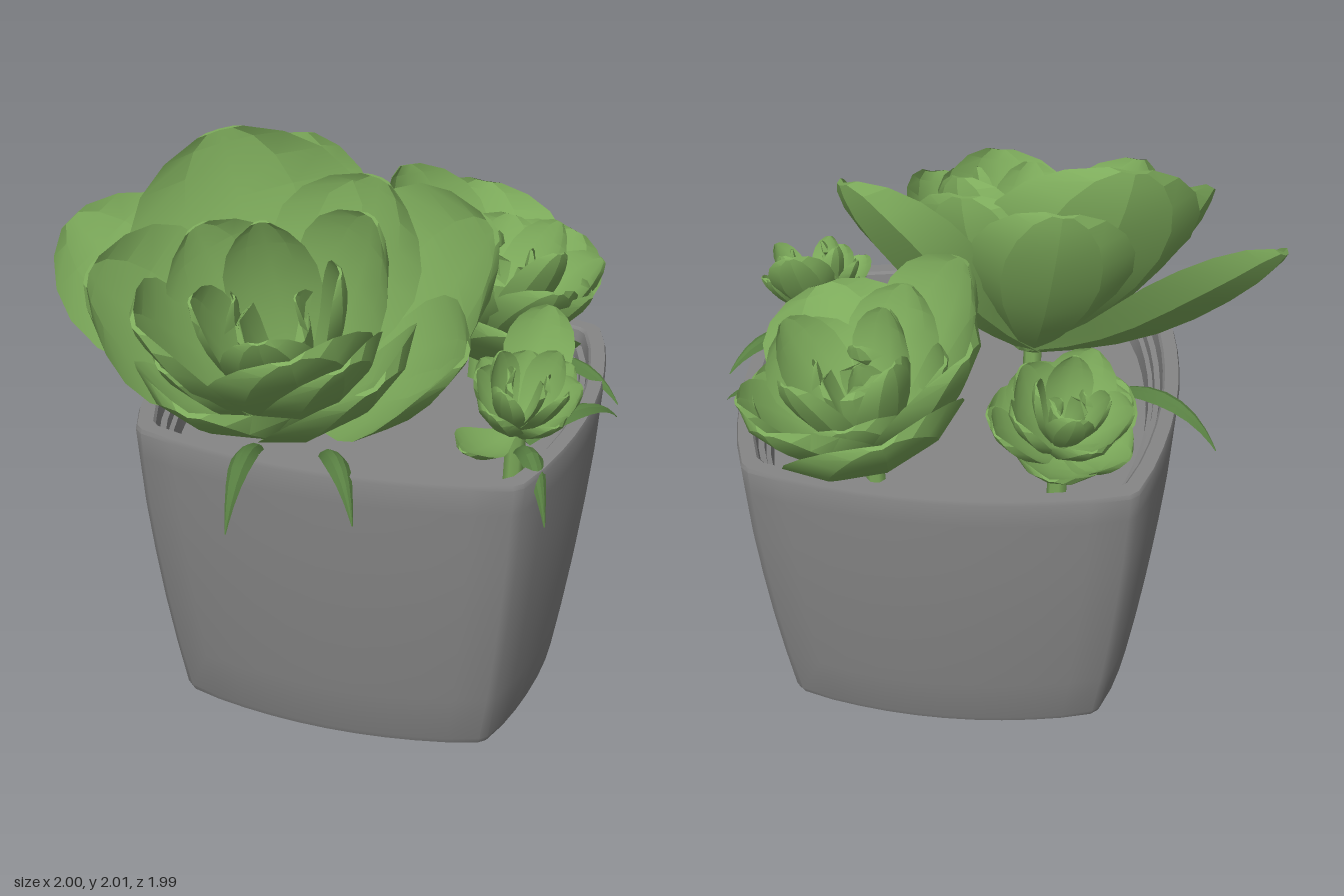
import * as THREE from 'three';
import { toCreasedNormals } from 'three/addons/utils/BufferGeometryUtils.js';

const V = (x, y, z) => new THREE.Vector3(x, y, z);

// Closed skin through equal rings of points, capped at both ends
function loft(rings, crease) {
  const n = rings[0].length, pos = [], idx = [];
  rings.forEach(r => r.forEach(p => pos.push(p.x, p.y, p.z)));
  for (let i = 0; i < rings.length - 1; i++) {
    for (let j = 0; j < n; j++) {
      const k = (j + 1) % n, a = i * n + j, b = i * n + k;
      idx.push(a, b, b + n, a, b + n, a + n);
    }
  }
  [0, rings.length - 1].forEach((i, end) => {
    const c = rings[i].reduce((s, p) => s.add(p), V(0, 0, 0)).divideScalar(n);
    const ci = pos.length / 3;
    pos.push(c.x, c.y, c.z);
    for (let j = 0; j < n; j++) {
      const a = i * n + j, b = i * n + (j + 1) % n;
      if (end) idx.push(ci, a, b); else idx.push(ci, b, a);
    }
  });
  const g = new THREE.BufferGeometry();
  g.setAttribute('position', new THREE.Float32BufferAttribute(pos, 3));
  g.setIndex(idx);
  return toCreasedNormals(g, crease);
}

// Half width along a spoon-shaped petal and along a pointed blade
const STEPS = [0, 0.15, 0.3, 0.45, 0.6, 0.74, 0.86, 0.95, 1];
const spoon = t => t < 0.64
  ? 0.2 + 0.8 * THREE.MathUtils.smoothstep(t, -0.08, 0.64)
  : Math.sqrt(Math.max(0.04, 1 - ((t - 0.64) / 0.365) ** 2));
const blade = t => 0.06 + 0.94 * Math.sin(Math.PI * Math.min(1, 0.15 + t * 0.85));

// Leaf following a curve, cupped toward the given up direction
function leafGeometry(curve, up, half, cup, thick, shape) {
  const rings = STEPS.map(t => {
    const p = curve.getPoint(t), T = curve.getTangent(t);
    const N = up.clone().addScaledVector(T, -up.dot(T)).normalize();
    const S = N.clone().cross(T);
    const w = half * shape(t), th = thick * Math.min(1, shape(t) + 0.2);
    const at = (u, drop) => p.clone().addScaledVector(S, u * w)
      .addScaledVector(N, cup * w * u * u - drop);
    return [at(1, 0), at(0.5, 0), at(0, 0), at(-0.5, 0), at(-1, 0),
      at(-0.6, th), at(0, th), at(0.6, th)];
  });
  return loft(rings, 0.35);
}

function petalGeometry(base, tip, axis, half) {
  const dir = tip.clone().sub(base), len = dir.length();
  dir.normalize();
  const N = axis.clone().addScaledVector(dir, -axis.dot(dir)).normalize();
  const mid = base.clone().lerp(tip, 0.55).addScaledVector(N, -0.16 * len);
  return leafGeometry(new THREE.QuadraticBezierCurve3(base, mid, tip), axis, half, 0.34, 0.05 * half + 0.008, spoon);
}

// Petals come from listed tips [x, y, z, halfWidth] and from
// rings [count, elevation in degrees, length, halfWidth, phase]
function rosette(name, base, axis, tips, rings, mat) {
  const group = new THREE.Group();
  group.name = name;
  axis.normalize();
  const add = (geometry, part) => {
    const m = new THREE.Mesh(geometry, mat);
    m.name = part;
    group.add(m);
  };
  tips.forEach(([x, y, z, w]) => add(petalGeometry(base, V(x, y, z), axis, w), 'outerPetal'));
  const e1 = V(1, 0, 0).addScaledVector(axis, -axis.x).normalize();
  const e2 = e1.clone().cross(axis).negate();
  rings.forEach(([count, deg, len, w, phase]) => {
    const phi = THREE.MathUtils.degToRad(deg);
    for (let i = 0; i < count; i++) {
      const a = phase + i / count * Math.PI * 2;
      const l = len * (1 + 0.06 * Math.sin(i * 2.4 + phase));
      const tip = base.clone()
        .addScaledVector(e1, Math.cos(a) * Math.cos(phi) * l)
        .addScaledVector(e2, Math.sin(a) * Math.cos(phi) * l)
        .addScaledVector(axis, Math.sin(phi) * l);
      add(petalGeometry(base, tip, axis, w), 'innerPetal');
    }
  });
  // Stem down into the pot
  const stem = new THREE.TubeGeometry(new THREE.LineCurve3(
    V(base.x, 0.94, base.z), base.clone().addScaledVector(axis, 0.04)), 1, 0.035, 7);
  add(stem, 'stem');
  return group;
}

// Rounded square outline with bulging sides
function potRing(scale, y) {
  const pts = [], c = 0.68, bulge = 0.108;
  for (let s = 0; s < 4; s++) {
    const a = s * Math.PI / 2;
    for (let i = 0; i <= 10; i++) {
      const t = -0.96 + 0.192 * i;
      const u = c * t, v = c + bulge * (1 - t * t) - (Math.abs(t) > 0.9 ? 0.006 : 0);
      pts.push(V(0.13 + scale * (u * Math.cos(a) + v * Math.sin(a)), y,
        0.02 + scale * 0.965 * (v * Math.cos(a) - u * Math.sin(a))));
    }
  }
  return pts;
}

export function createModel() {
  const model = new THREE.Group();
  model.name = 'pottedSucculents';
  const grey = new THREE.MeshStandardMaterial({ color: 0x868686 });
  grey.name = 'potGrey';
  const green = new THREE.MeshStandardMaterial({ color: 0x7dab5b });
  green.name = 'leafGreen';
  const darkGreen = new THREE.MeshStandardMaterial({ color: 0x587f42 });
  darkGreen.name = 'droopingLeafGreen';

  // Pot: outer wall, rim, stepped inner wall and filled floor
  const profile = [[0.8, 0], [0.822, 0.008], [0.834, 0.03], [0.875, 0.22], [0.913, 0.42], [0.945, 0.62],
    [0.972, 0.82], [0.99, 1.02], [0.998, 1.115], [0.992, 1.13], [0.93, 1.13], [0.92, 1.12],
    [0.91, 1.07], [0.885, 1.065], [0.88, 1.03], [0.86, 1.025], [0.85, 0.96]];
  const pot = new THREE.Mesh(loft(profile.map(([s, y]) => potRing(s, y)), 0.5), grey);
  pot.name = 'pot';
  model.add(pot);

  // Large rosette leaning to the front
  model.add(rosette('largeRosette', V(-0.1, 1.09, 0.26), V(-0.03, 0.88, 0.45), [
    [-0.99, 1.64, 0.14, 0.33], [-0.46, 1.99, 0.02, 0.41], [-0.24, 1.93, -0.2, 0.29],
    [0.12, 1.87, 0.0, 0.32], [0.57, 1.8, 0.17, 0.42], [0.59, 1.53, 0.6, 0.31],
    [0.36, 1.5, 0.84, 0.33], [-0.22, 1.38, 0.97, 0.37], [-0.73, 1.64, 0.58, 0.36],
    [-0.45, 1.6, 0.84, 0.32], [0.1, 1.58, 0.9, 0.3],
  ], [[4, 54, 0.74, 0.25, 0.9], [4, 68, 0.7, 0.17, 0.3], [2, 80, 0.58, 0.11, 0.2]], green));

  // Medium rosette at the back, leaning outward
  model.add(rosette('mediumRosette', V(0.38, 1.07, -0.41), V(0.2, 0.94, -0.1), [
    [0.25, 1.52, -0.98, 0.32], [0.02, 1.67, -0.67, 0.31], [0.66, 1.42, -0.82, 0.28],
    [0.8, 1.34, -0.42, 0.27], [0.65, 1.4, 0.14, 0.28], [0.1, 1.7, -0.13, 0.28],
  ], [[5, 48, 0.56, 0.2, 0.5], [4, 63, 0.54, 0.14, 1.0], [3, 78, 0.44, 0.09, 0.2]], green));

  // Two small rosettes
  model.add(rosette('backSmallRosette', V(-0.26, 1.21, -0.49), V(-0.2, 0.9, -0.22), [
    [-0.36, 1.4, -0.25, 0.14], [-0.08, 1.42, -0.74, 0.13], [-0.5, 1.38, -0.42, 0.13],
  ], [[5, 28, 0.3, 0.15, 0.2], [5, 48, 0.33, 0.12, 0.7], [4, 66, 0.32, 0.08, 0.1], [2, 80, 0.26, 0.05, 0.6]], green));
  model.add(rosette('sideSmallRosette', V(0.7, 1.15, 0.33), V(0.22, 0.9, 0.22), [
    [0.56, 1.36, 0.24, 0.08], [0.76, 1.52, 0.1, 0.12], [0.86, 1.36, 0.2, 0.09], [0.6, 1.22, 0.65, 0.09],
  ], [[5, 46, 0.27, 0.1, 0.5], [4, 62, 0.3, 0.075, 1.1], [2, 78, 0.27, 0.05, 0.2]], green));

  // Thin pointed leaves drooping over the rim: tip, then root x and z
  [[-0.8, 1.02, -0.2, -0.42, 0.03], [-0.1, 0.97, 0.99, -0.12, 0.6], [0.3, 1.01, 0.88, 0.1, 0.58],
    [0.88, 0.97, 0.63, 0.72, 0.36], [0.99, 1.08, -0.01, 0.73, 0.3], [0.97, 1.06, -0.14, 0.6, -0.32],
  ].forEach(([x, y, z, rx, rz]) => {
    const lerp = THREE.MathUtils.lerp;
    const curve = new THREE.CubicBezierCurve3(V(rx, 1.1, rz),
      V(lerp(rx, x, 0.35), 1.2, lerp(rz, z, 0.35)),
      V(lerp(rx, x, 0.75), 1.21, lerp(rz, z, 0.75)), V(x, y, z));
    const m = new THREE.Mesh(leafGeometry(curve, V(0, 1, 0), 0.04, -0.8, 0.008, blade), darkGreen);
    m.name = 'droopingLeaf';
    model.add(m);
  });
  return model;
}
